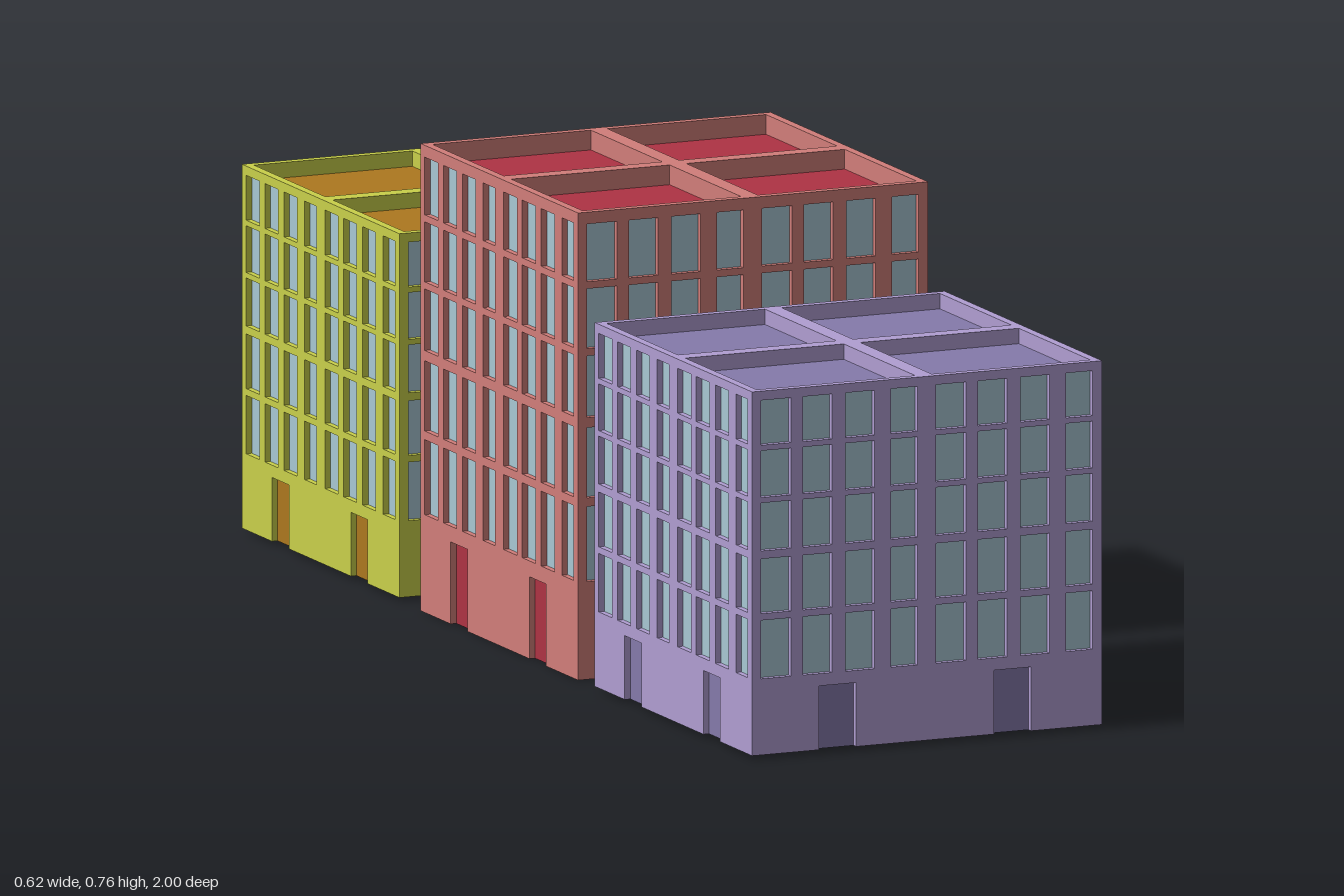
import * as THREE from 'three';
import { mergeGeometries } from 'three/addons/utils/BufferGeometryUtils.js';

const W = 0.306, H = 0.592;          // one square block of a building
const RIM = 0.0145, DECK_DROP = 0.025, INSET = 0.01;
const COLUMNS = [[0.016, 0.068], [0.089, 0.14], [0.163, 0.214], [0.243, 0.289]];
const ROWS = [[0.124, 0.219], [0.23, 0.319], [0.332, 0.41], [0.419, 0.495], [0.504, 0.577]];
const DOOR = [0.117, 0, 0.182, 0.104];
const WINDOWS = ROWS.flatMap(([y0, y1]) => COLUMNS.map(([x0, x1]) => [x0, y0, x1, y1]));

const path = (points, Type) => new Type(points.map(([x, y]) => new THREE.Vector2(x, y)));
const corners = ([x0, y0, x1, y1]) => [[x0, y0], [x1, y0], [x1, y1], [x0, y1]];

// Flat pane covering a rectangle, set back by depth
function pane([x0, y0, x1, y1], depth) {
  return new THREE.PlaneGeometry(x1 - x0, y1 - y0)
    .translate((x0 + x1) / 2, (y0 + y1) / 2, -depth);
}

// Edges of a rectangular recess; openBottom leaves out the lower side
function reveal([x0, y0, x1, y1], depth, openBottom = false) {
  const sides = openBottom ? 3 : 4;
  return new THREE.CylinderGeometry(Math.SQRT1_2, Math.SQRT1_2, 1, sides, 1, true, Math.PI / 4, sides * Math.PI / 2)
    .rotateX(Math.PI / 2)
    .scale(x1 - x0, y1 - y0, depth)
    .translate((x0 + x1) / 2, (y0 + y1) / 2, -depth / 2);
}

// One facade in the xy plane: wall sheet with window holes and a door notch
function facade() {
  const [d0, , d1, dh] = DOOR;
  const sheet = path([[0, 0], [d0, 0], [d0, dh], [d1, dh], [d1, 0], [W, 0], [W, H], [0, H]], THREE.Shape);
  sheet.holes = WINDOWS.map(r => path(corners(r), THREE.Path));
  return {
    wall: [new THREE.ShapeGeometry(sheet), reveal(DOOR, INSET, true), ...WINDOWS.map(r => reveal(r, INSET))],
    glass: WINDOWS.map(r => pane(r, INSET)),
    door: [pane(DOOR, INSET)],
  };
}

// One block: four facades, a roof rim and a sunken roof deck
function blockParts() {
  const parts = { wall: [], glass: [], door: [], deck: [] };
  for (let i = 0; i < 4; i++) {
    for (const [key, list] of Object.entries(facade())) {
      parts[key].push(...list.map(g => g.translate(-W / 2, 0, W / 2).rotateY(i * Math.PI / 2)));
    }
  }
  const h = W / 2, inner = [-h + RIM, -h + RIM, h - RIM, h - RIM];
  const rim = path(corners([-h, -h, h, h]), THREE.Shape);
  rim.holes = [path(corners(inner), THREE.Path)];
  const lay = g => g.rotateX(-Math.PI / 2).translate(0, H, 0);
  parts.wall.push(lay(new THREE.ShapeGeometry(rim)), lay(reveal(inner, DECK_DROP)));
  parts.deck.push(lay(pane(inner, DECK_DROP)));
  return Object.fromEntries(Object.entries(parts).map(([k, list]) => [k, mergeGeometries(list)]));
}

export function createModel() {
  const model = new THREE.Group();
  model.name = 'apartmentBuildings';
  const parts = blockParts();
  const names = { wall: 'walls', glass: 'windowPanes', door: 'doors', deck: 'roofDeck' };
  const material = color => new THREE.MeshStandardMaterial({ color, side: THREE.DoubleSide, flatShading: true });
  const glass = material(0xa8c8d4);

  const buildings = [
    { name: 'purpleBuilding', x: -0.0045, y: 0.006, z: 0.694, tall: 1, wall: 0xb09ed2, trim: 0x857aab },
    { name: 'redBuilding', x: 0.0035, y: 0, z: 0, tall: 1.284, wall: 0xd17e7a, trim: 0xae3344 },
    { name: 'yellowBuilding', x: 0.0035, y: 0.006, z: -0.694, tall: 1, wall: 0xc9d04a, trim: 0xad781f },
  ];
  for (const b of buildings) {
    const building = new THREE.Group();
    building.name = b.name;
    building.position.set(b.x, b.y, b.z);
    building.scale.y = b.tall;
    const trim = material(b.trim);
    const materials = { wall: material(b.wall), glass, door: trim, deck: trim };
    // Four blocks in a square
    for (const sx of [-1, 1]) for (const sz of [-1, 1]) {
      const block = new THREE.Group();
      block.name = 'block';
      block.position.set(sx * W / 2, 0, sz * W / 2);
      for (const key in parts) {
        const mesh = new THREE.Mesh(parts[key], materials[key]);
        mesh.name = names[key];
        block.add(mesh);
      }
      building.add(block);
    }
    model.add(building);
  }
  return model;
}
